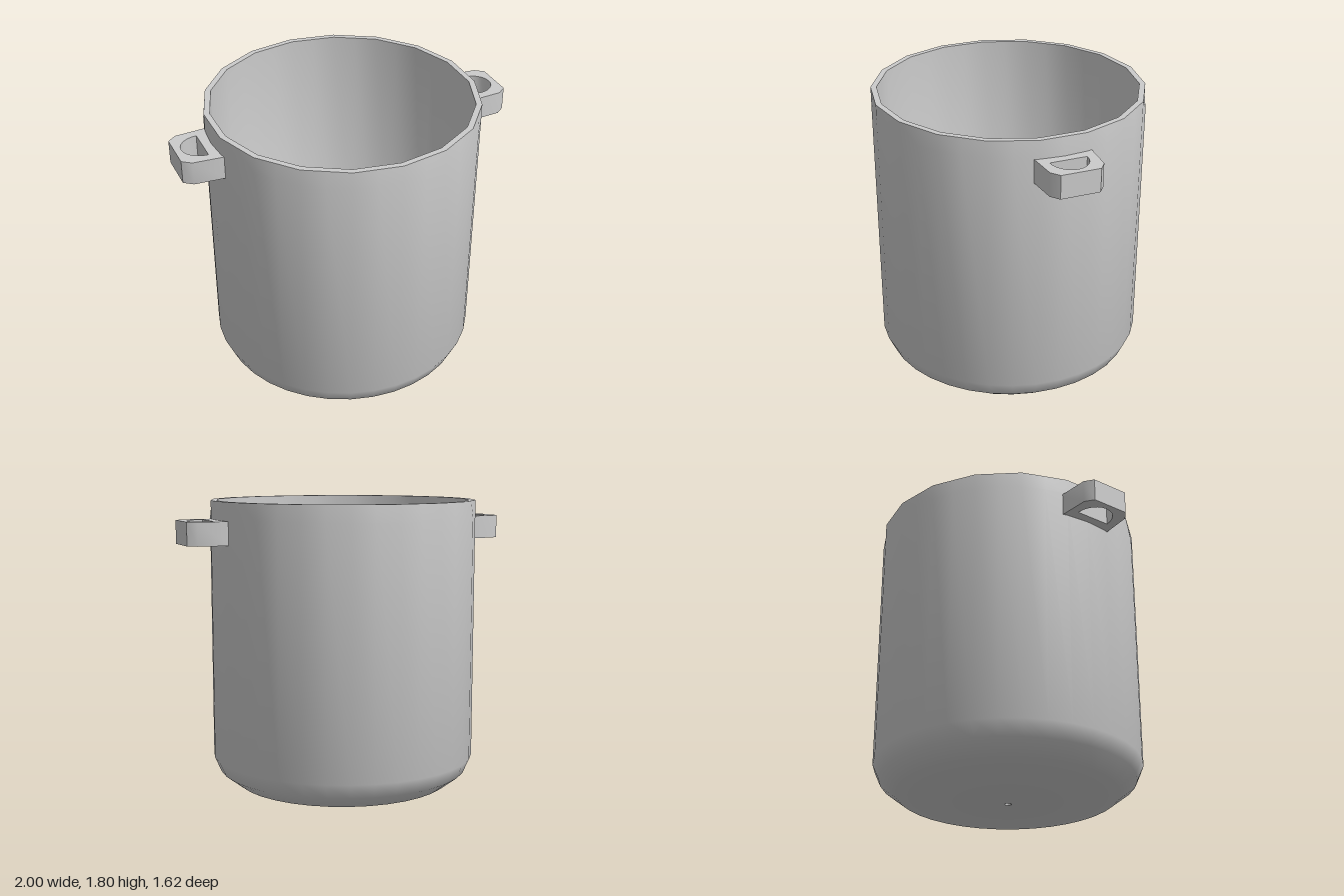
import * as THREE from 'three';
import { toCreasedNormals } from 'three/addons/utils/BufferGeometryUtils.js';

const SIDES = 36;

function potGeometry() {
  // Closed wall profile [radius, height]: outside going up, rim, inside going down, drain hole
  const outside = [[0.02, 0], [0.3, 0.008], [0.5, 0.025], [0.665, 0.05], [0.77, 0.13], [0.81, 0.22], [0.81, 1.7]];
  const rimAndInside = [[0.81, 1.8], [0.775, 1.8], [0.775, 0.23], [0.74, 0.155], [0.645, 0.085],
    [0.5, 0.06], [0.3, 0.043], [0.02, 0.035], [0.02, 0]];
  const profile = [...outside, ...rimAndInside].map(([r, y]) => new THREE.Vector2(r, y));
  const geo = new THREE.LatheGeometry(profile, SIDES);

  // Rim and inside are 18-sided: pull every second column onto the chord
  const pos = geo.attributes.position;
  const chord = Math.cos((2 * Math.PI) / SIDES);
  for (let i = 0; i < pos.count; i++) {
    const column = Math.floor(i / profile.length);
    const row = i % profile.length;
    if (column % 2 === 1 && row >= outside.length && row < profile.length - 1) {
      pos.setX(i, pos.getX(i) * chord);
      pos.setZ(i, pos.getZ(i) * chord);
    }
  }
  return toCreasedNormals(geo, 0.75);
}

function handleGeometry() {
  // Chamfered lug seen from above, x pointing away from the pot
  const shape = new THREE.Shape([[0.785, -0.17], [0.97, -0.157], [1.022, -0.117],
    [1.022, 0.117], [0.97, 0.157], [0.785, 0.17]].map(([x, y]) => new THREE.Vector2(x, y)));

  // D-shaped finger opening
  const hole = new THREE.Path();
  hole.absellipse(0.86, 0, 0.125, 0.11, -Math.PI / 2, Math.PI / 2, false);
  hole.closePath();
  shape.holes.push(hole);

  const geo = new THREE.ExtrudeGeometry(shape, { depth: 0.14, bevelEnabled: false, curveSegments: 6 });
  geo.rotateX(-Math.PI / 2);
  geo.translate(0, 1.55, 0);
  return toCreasedNormals(geo, 0.6);
}

export function createModel() {
  const group = new THREE.Group();
  group.name = 'pot';
  const material = new THREE.MeshStandardMaterial({ color: 0xcccccc });

  const body = new THREE.Mesh(potGeometry(), material);
  body.name = 'potBody';
  group.add(body);

  // Two opposite handles, turned slightly off the side axis
  const handleGeo = handleGeometry();
  ['leftHandle', 'rightHandle'].forEach((name, i) => {
    const handle = new THREE.Mesh(handleGeo, material);
    handle.name = name;
    handle.rotation.y = THREE.MathUtils.degToRad(-20 + 180 * i);
    group.add(handle);
  });
  return group;
}
